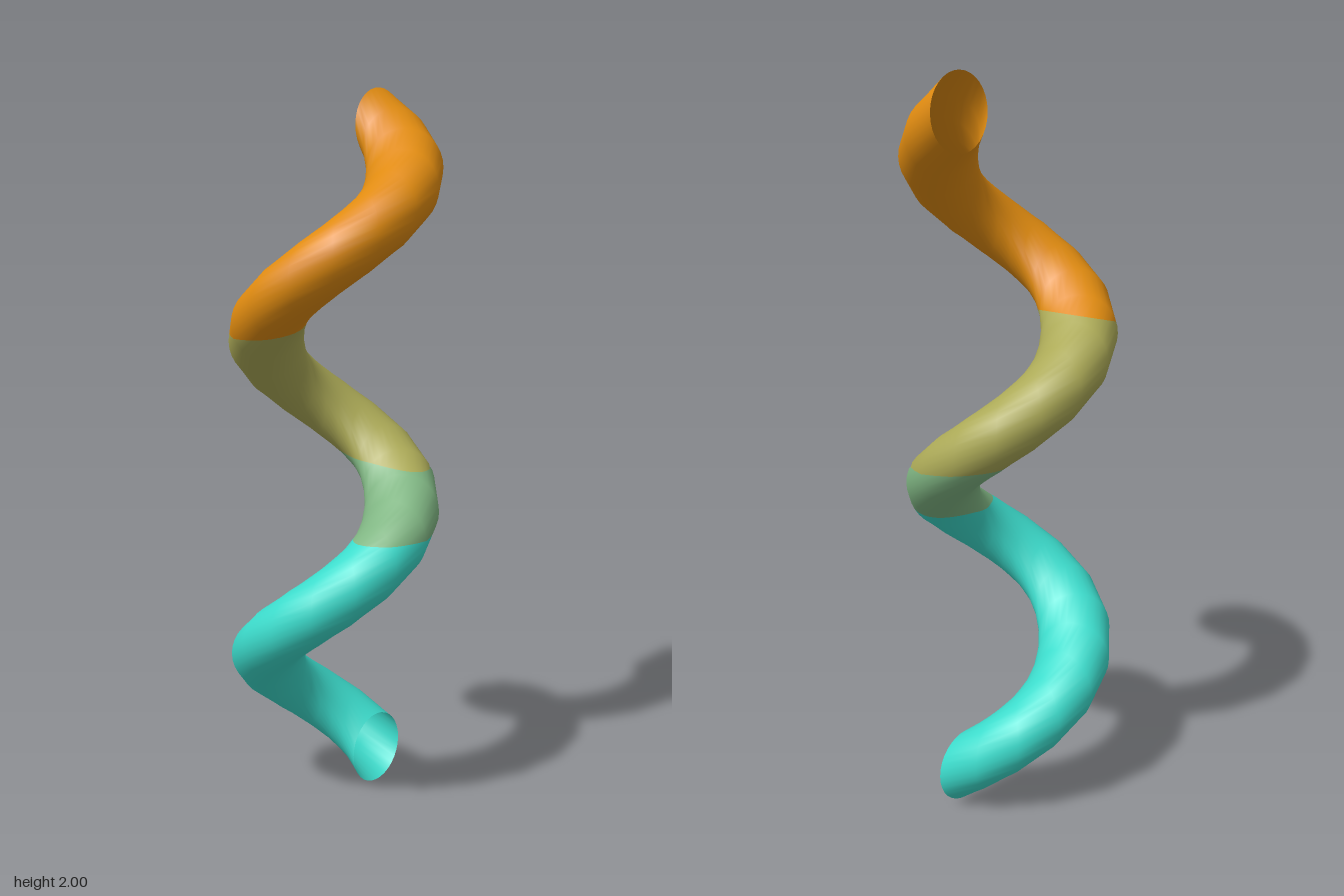
import * as THREE from 'three';

const R = 0.187, r = 0.103;          // coil radius, tube radius
const TURNS = 2, STEPS = 31, SIDES = 32;
const RISE = (2 - 2 * r) / TURNS;    // height gained per turn

// Exact point on the coil: t in turns, a around the upright circular section
function exact(t, a) {
  const w = t * Math.PI * 2, d = R + r * Math.cos(a);
  return new THREE.Vector3(d * Math.cos(w), r + RISE * t + r * Math.sin(a), -d * Math.sin(w));
}

// Point on the straight segment between two neighbouring sections
function point(t, a) {
  const s = (t / TURNS) * STEPS, k = Math.min(STEPS - 1, Math.floor(s));
  return exact(k * TURNS / STEPS, a).lerp(exact((k + 1) * TURNS / STEPS, a), s - k);
}

// Smooth outward normal
function normal(t, a) {
  const e = 1e-3;
  const along = exact(t + e, a).sub(exact(t - e, a));
  const around = exact(t, a + e).sub(exact(t, a - e));
  return along.cross(around).normalize();
}

// Where the strand at angle a crosses the colour boundary y = h + sx * x + sz * z
function crossing({ h, sx = 0, sz = 0 }, a) {
  let t = (h - r - r * Math.sin(a)) / RISE;
  for (let i = 0; i < 15; i++) {
    const p = point(THREE.MathUtils.clamp(t, 0, TURNS), a);
    t += (h + sx * p.x + sz * p.z - p.y) / RISE;
  }
  return THREE.MathUtils.clamp(t, 0, TURNS);
}

// Open tube between two boundaries; rows beyond a boundary collapse onto it
function band(from, to) {
  const pos = [], nor = [], index = [], row = SIDES + 1;
  for (let j = 0; j <= SIDES; j++) {
    const a = (j / SIDES) * Math.PI * 2;
    const lo = from ? crossing(from, a) : 0, hi = to ? crossing(to, a) : TURNS;
    for (let i = 0; i <= STEPS; i++) {
      const t = THREE.MathUtils.clamp(i * TURNS / STEPS, lo, hi);
      pos.push(...point(t, a).toArray());
      nor.push(...normal(t, a).toArray());
    }
  }
  const at = (k) => new THREE.Vector3().fromArray(pos, k * 3);
  const addFace = (p, q, s) => {
    const area = at(q).sub(at(p)).cross(at(s).sub(at(p))).length();
    if (area > 1e-9) index.push(p, q, s);
  };
  for (let j = 0; j < row - 1; j++) {
    for (let i = 0; i < STEPS; i++) {
      const p = j * (STEPS + 1) + i, q = p + STEPS + 1;
      addFace(p, p + 1, q);
      addFace(p + 1, q + 1, q);
    }
  }
  const g = new THREE.BufferGeometry();
  g.setAttribute('position', new THREE.Float32BufferAttribute(pos, 3));
  g.setAttribute('normal', new THREE.Float32BufferAttribute(nor, 3));
  g.setIndex(index);
  return g;
}

export function createModel() {
  const group = new THREE.Group();
  group.name = 'coil';

  // Colour boundaries from bottom to top
  const cuts = [
    null,
    { h: 0.8 },
    { h: 0.99, sx: -0.05, sz: -0.12 },
    { h: 1.39, sx: 0.23 },
    null,
  ];
  const bands = [
    ['lowerCoil', 'turquoise', 0x3cdccc],
    ['lowerMiddleCoil', 'sage', 0x80b683],
    ['upperMiddleCoil', 'olive', 0xacaa57],
    ['upperCoil', 'orange', 0xe08b10],
  ];
  bands.forEach(([name, colorName, color], i) => {
    const material = new THREE.MeshStandardMaterial({ color, side: THREE.DoubleSide });
    material.name = colorName;
    const mesh = new THREE.Mesh(band(cuts[i], cuts[i + 1]), material);
    mesh.name = name;
    group.add(mesh);
  });
  return group;
}
